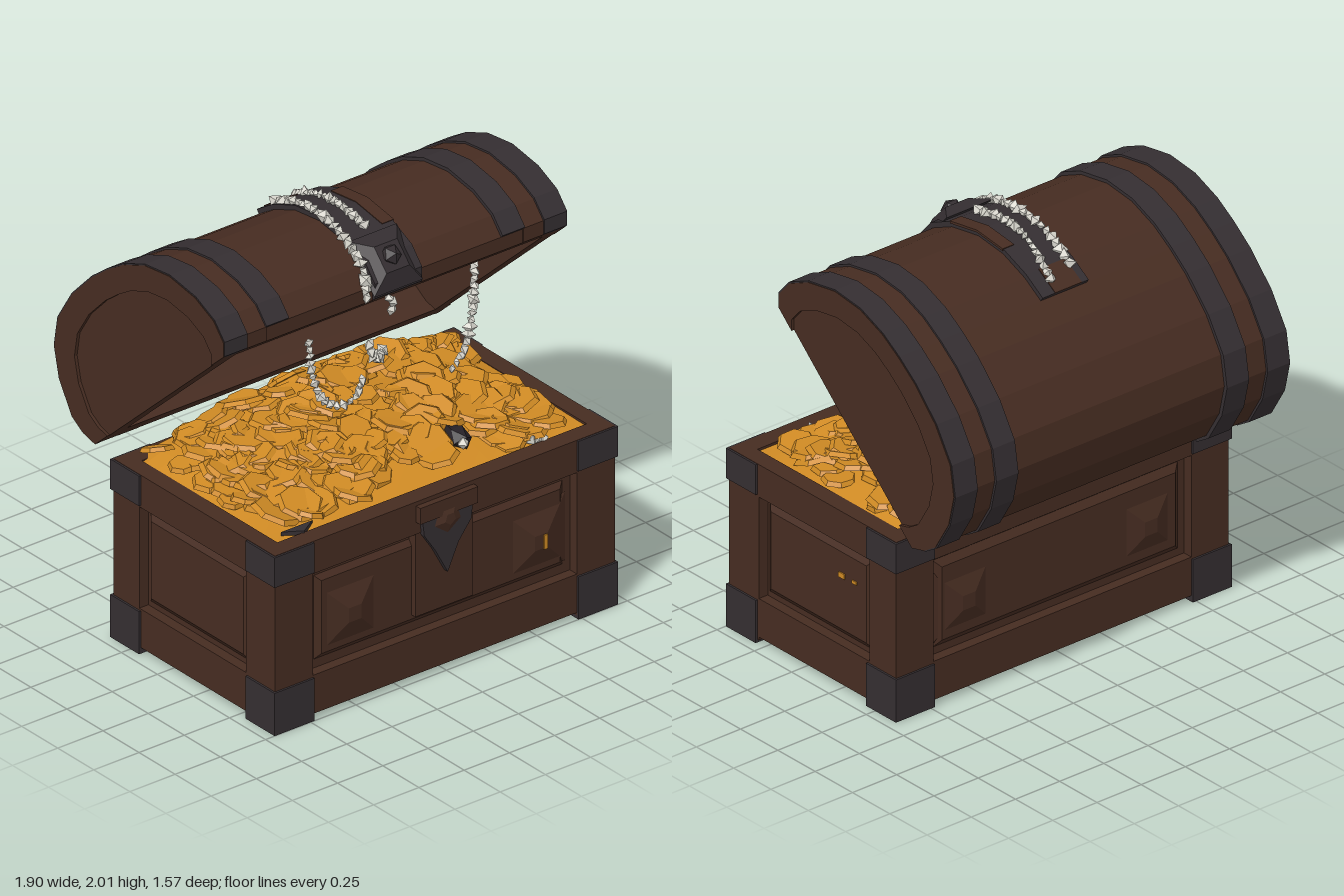
import * as THREE from 'three';
import { mergeGeometries } from 'three/addons/utils/BufferGeometryUtils.js';

export function createModel() {
  const chest = new THREE.Group();
  chest.name = 'treasureChest';
  const mat = (name, color, side = THREE.FrontSide) => {
    const m = new THREE.MeshStandardMaterial({ color, flatShading: true, side });
    m.name = name;
    return m;
  };
  const wood = mat('brown wood', 0x462c21);
  const iron = mat('dark iron', 0x342e31);
  const gold = mat('gold', 0xcf8a24, THREE.DoubleSide);
  const silver = mat('silver', 0xd6d4cb);
  const gem = mat('dark gem', 0x262126);

  let seed = 7;
  const rnd = () => (seed = (seed * 16807) % 2147483647) / 2147483647;
  const add = (name, geo, material) => {
    const m = new THREE.Mesh(geo, material);
    m.name = name;
    chest.add(m);
  };
  // box given by its limits on each axis
  const block = (x0, x1, y0, y1, z0, z1) =>
    new THREE.BoxGeometry(x1 - x0, y1 - y0, z1 - z0).translate((x0 + x1) / 2, (y0 + y1) / 2, (z0 + z1) / 2);
  // limits along x, mirrored for the right-hand side
  const span = (s, a, b) => (s > 0 ? [a, b] : [-b, -a]);

  // ---- chest body: core, frame rails and posts
  const zB = -0.38, zF = 0.74, X = 0.94;
  add('bodyCore', block(-0.89, 0.89, 0.03, 0.84, zB + 0.05, zF - 0.05), wood);
  const frame = [];
  for (const [z0, z1] of [[zB, zB + 0.09], [zF - 0.09, zF]]) {
    frame.push(block(-X, X, 0.72, 0.88, z0, z1), block(-X, X, 0.03, 0.22, z0, z1));
    for (const s of [-1, 1]) frame.push(block(...span(s, 0.73, X), 0.015, 0.88, z0, z1));
  }
  for (const s of [-1, 1]) {
    const lim = span(s, 0.855, X);
    frame.push(block(...lim, 0.72, 0.88, zB, zF), block(...lim, 0.03, 0.22, zB, zF));
    frame.push(block(...lim, 0.015, 0.88, zB, zB + 0.18), block(...lim, 0.015, 0.88, zF - 0.2, zF));
  }
  add('bodyFrame', mergeGeometries(frame), wood);

  // raised panels with bevelled edges, on all four sides
  const panel = (w, h, d) => {
    const g = new THREE.BoxGeometry(w, h, d), p = g.attributes.position;
    for (let i = 0; i < p.count; i++)
      if (p.getZ(i) > 0) p.setXY(i, p.getX(i) - Math.sign(p.getX(i)) * 0.04, p.getY(i) - Math.sign(p.getY(i)) * 0.04);
    return g;
  };
  add('sidePanels', mergeGeometries([-1, 1].map(s =>
    panel(0.72, 0.46, 0.03).rotateY(s * Math.PI / 2).translate(s * 0.9, 0.47, 0.17))), wood);
  add('backPanel', panel(1.4, 0.44, 0.03).rotateY(Math.PI).translate(0, 0.47, zB + 0.04), wood);
  add('frontPanel', panel(1.4, 0.44, 0.03).translate(0, 0.47, zF - 0.045), wood);
  // carved square ornaments
  const ornaments = [];
  for (const x of [-0.5, 0.53])
    for (const s of [-1, 1])
      ornaments.push(new THREE.CylinderGeometry(0.05, 0.24, 0.05, 4).rotateY(Math.PI / 4)
        .rotateX(s * Math.PI / 2).translate(x, 0.45, s > 0 ? zF - 0.02 : zB + 0.02));
  add('carvedOrnaments', mergeGeometries(ornaments), wood);
  add('lockBoard', block(-0.16, 0.16, 0.31, 0.74, 0.69, 0.735), wood);

  // ---- iron corner caps: solid feet below, thin plates round the top corners
  const caps = [];
  for (const s of [-1, 1])
    for (const f of [0, 1]) {
      const z0 = f ? 0.55 : -0.39, zOut = f ? 0.735 : -0.39;
      caps.push(block(...span(s, 0.73, 0.95), 0, 0.21, z0, z0 + 0.2));
      caps.push(block(...span(s, 0.73, 0.95), 0.73, 0.878, zOut, zOut + 0.015));
      caps.push(block(...span(s, 0.935, 0.95), 0.73, 0.878, z0, z0 + 0.2));
    }
  add('cornerCaps', mergeGeometries(caps), iron);

  // ---- front hasp: tapered iron plate over a wooden boss
  const hasp = new THREE.Shape([[-0.14, 0.79], [0.14, 0.79], [0.13, 0.71], [0.06, 0.62], [0, 0.49], [-0.07, 0.62], [-0.13, 0.71]]
    .map(p => new THREE.Vector2(...p)));
  add('hasp', new THREE.ExtrudeGeometry(hasp, { depth: 0.025, bevelEnabled: false }).translate(0, 0, 0.735), iron);
  add('haspBoss', new THREE.CylinderGeometry(0.03, 0.12, 0.04, 5).rotateX(Math.PI / 2).translate(0, 0.76, 0.76), wood);
  add('haspTop', block(-0.16, 0.16, 0.78, 0.86, 0.73, 0.77), wood);
  add('frontInlay', block(0.54, 0.56, 0.41, 0.48, 0.745, 0.752), gold);
  add('sideInlay', block(0.916, 0.922, 0.535, 0.56, -0.01, 0.03), gold);
  add('sideInlayTip', block(0.916, 0.922, 0.54, 0.555, -0.09, -0.06), gold);

  // ---- lid: arc given as (z, y), scaled about a point on its flat side
  const arc = [[0.4, 1.72], [0.4, 1.79], [0.33, 1.87], [0.2, 1.93], [0.02, 1.96], [-0.15, 1.94], [-0.3, 1.88], [-0.41, 1.81],
    [-0.52, 1.725], [-0.66, 1.58], [-0.76, 1.42], [-0.785, 1.27], [-0.75, 1.12], [-0.66, 0.97], [-0.58, 0.92], [-0.5, 0.9]];
  // shift slides the scaled arc along the flat side
  const scaled = (k, shift = 0) => arc.map(([z, y]) =>
    new THREE.Vector2(0.05 - shift - (z + 0.05) * k, 1.31 + shift * 0.911 + (y - 1.31) * k));
  const extrudeX = (pts, x0, x1) =>
    new THREE.ExtrudeGeometry(new THREE.Shape(pts), { depth: x1 - x0, bevelEnabled: false }).rotateY(Math.PI / 2).translate(x0, 0, 0);
  const shell = (outer, inner, x0, x1, from = 0, to = arc.length) =>
    extrudeX([...scaled(outer).slice(from, to), ...scaled(inner).slice(from, to).reverse()], x0, x1);

  add('lidShell', extrudeX([...scaled(0.975), ...scaled(0.83, 0.03).reverse()], -0.86, 0.86), wood);
  const ends = [], bands = [], between = [], rims = [];
  for (const s of [-1, 1]) {
    ends.push(extrudeX(scaled(0.975), ...span(s, 0.85, 0.935)));
    rims.push(shell(0.99, 0.8, ...span(s, 0.93, 0.95)));
    bands.push(shell(1, 0.95, ...span(s, 0.82, 0.947), 0, 15), shell(1, 0.95, ...span(s, 0.59, 0.715), 1, 15));
    between.push(shell(0.985, 0.95, ...span(s, 0.71, 0.825)));
  }
  add('lidEnds', mergeGeometries(ends), wood);
  add('lidEndRims', mergeGeometries(rims), wood);
  add('lidBands', mergeGeometries(bands), iron);
  add('lidBandFill', mergeGeometries(between), wood);

  // iron strap and lock on the middle of the lid
  add('lidStrap', shell(1.012, 0.95, -0.12, 0.14, 0, 8), iron);
  add('lidStrapInlays', mergeGeometries([
    shell(1.018, 1, -0.08, 0.07, 6, 8), shell(1.018, 1, 0.08, 0.145, 3, 6)]), wood);
  add('lidLock', new THREE.CylinderGeometry(0.09, 0.19, 0.06, 4).rotateY(Math.PI / 4).rotateX(Math.PI / 2 - 0.75)
    .translate(0, 1.86, 0.35), iron);
  add('lidLockStud', new THREE.IcosahedronGeometry(0.05, 0).translate(0, 1.88, 0.36), iron);

  // ---- treasure: mound with loose coins lying along its slope
  const height = (x, z) => {
    const u = Math.min(1, Math.abs(x) / 0.88), v = Math.min(1, z > -0.1 ? (z + 0.1) / 0.75 : (-0.1 - z) / 0.29);
    return 0.868 + 0.172 * (1 - u ** 2) * (1 - v ** (z > -0.1 ? 1.5 : 3));
  };
  const mound = new THREE.PlaneGeometry(1.74, 1.0, 16, 12).rotateX(-Math.PI / 2).translate(0, 0, 0.15);
  const mp = mound.attributes.position;
  for (let i = 0; i < mp.count; i++) mp.setY(i, height(mp.getX(i), mp.getZ(i)));
  add('goldMound', mound, gold);
  const coins = [];
  for (let i = 0; i < 230; i++) {
    const r = 0.06 + rnd() * 0.065, x = (rnd() * 2 - 1) * (0.87 - r), z = -0.28 + rnd() * (0.95 - r);
    const slope = (height(x, z - 0.04) - height(x, z + 0.04)) / 0.08;
    const g = new THREE.CylinderGeometry(r * 0.85, r, 0.02, 7);
    g.rotateY(rnd() * 6).rotateX(Math.atan(slope) + (rnd() - 0.5) * 0.6).rotateZ((rnd() - 0.5) * 0.7);
    if (Math.hypot(x - 0.28, z - 0.48) > 0.14) coins.push(g.translate(x, height(x, z) + 0.01 + rnd() * 0.018, z));
  }
  add('goldCoins', mergeGeometries(coins), gold);
  add('gem', new THREE.IcosahedronGeometry(0.06, 0).scale(0.95, 0.9, 1.4).translate(0.28, 0.935, 0.47), gem);
  add('gemSetting', new THREE.OctahedronGeometry(0.03, 0).translate(0.26, 0.94, 0.54), silver);
  add('rimSplinter', new THREE.CylinderGeometry(0.1, 0.1, 0.04, 3).scale(1, 1, 0.35).translate(-0.71, 0.87, 0.62), iron);

  // ---- silver chains: angular links along curves
  const chain = (name, pts, size = 0.021) => {
    const curve = new THREE.CatmullRomCurve3(pts.map(p => new THREE.Vector3(...p)));
    const n = Math.max(2, Math.round(curve.getLength() / (size * 1.5))), links = [];
    for (let i = 0; i <= n; i++) {
      const p = curve.getPointAt(i / n), k = size * (0.8 + rnd() * 0.5);
      links.push(new THREE.OctahedronGeometry(k, 0).scale(1, 1.25, 0.8)
        .rotateX(rnd() * 3).rotateZ(rnd() * 3).translate(p.x, p.y, p.z));
    }
    add(name, mergeGeometries(links), silver);
  };
  chain('lidChainLeft', [[-0.16, 1.74, 0.4], [-0.15, 1.86, 0.36], [-0.13, 1.945, 0.2], [-0.11, 1.975, 0.02], [-0.1, 1.955, -0.16], [-0.08, 1.875, -0.33]], 0.026);
  chain('lidChainRight', [[0, 1.95, 0.18], [0, 1.98, 0.02], [0.01, 1.96, -0.15], [0.05, 1.855, -0.36]], 0.024);
  chain('frontChainEnd', [[-0.03, 1.69, 0.39], [-0.01, 1.67, 0.39], [-0.015, 1.63, 0.39]], 0.024);
  chain('frontChainHook', [[-0.13, 1.49, 0.38], [-0.11, 1.43, 0.375], [-0.05, 1.38, 0.34], [0.03, 1.365, 0.27]], 0.024);
  chain('hangingChainUpper', [[-0.24, 1.67, 0.06], [-0.235, 1.58, 0.06], [-0.23, 1.51, 0.06]], 0.019);
  chain('hangingChainMiddle', [[-0.21, 1.39, 0.06], [-0.2, 1.24, 0.07], [-0.17, 1.12, 0.1], [-0.09, 1.065, 0.12], [-0.02, 1.09, 0.14], [-0.01, 1.19, 0.18]], 0.023);
  chain('hangingChainSide', [[0.655, 1.67, 0.1], [0.665, 1.45, 0.11], [0.65, 1.2, 0.1], [0.61, 1.08, 0.1], [0.55, 1.02, 0.1]], 0.023);
  chain('looseLinks', [[0.57, 0.885, 0.625], [0.63, 0.88, 0.635]], 0.024);

  return chest;
}
